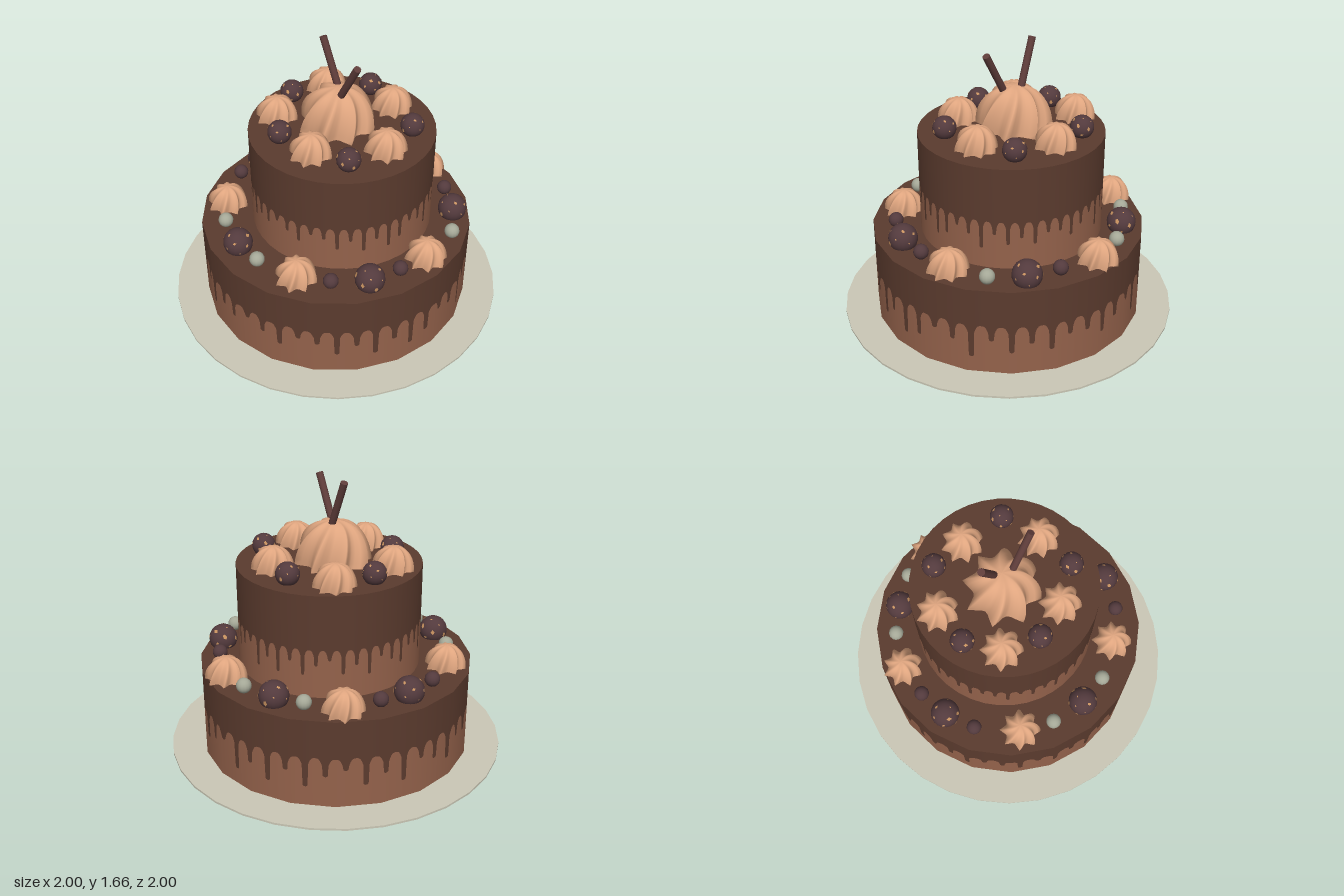
import * as THREE from 'three';
import { mergeGeometries } from 'three/addons/utils/BufferGeometryUtils.js';

const mat = (name, color, side = THREE.FrontSide) => {
  const m = new THREE.MeshStandardMaterial({ color, side });
  m.name = name;
  return m;
};
const DEG = Math.PI / 180;

// Lowest point of each drip, from the front round to the model's left, back and right
const DRIPS = [
  .12, .2, .11, .15, .24, .2, .11, .22, .15, .2, .15, .22, .21, .15, .2,
  .25, .11, .2, .12, .22, .13, .2, .24, .14, .2, .12, .23, .18, .13, .22,
  .2, .12, .24, .16, .21, .13, .2, .19, .25, .21, .16, .24, .22, .14, .21,
];

// Height of the glaze edge at an angle: rounded drips joined by arches
function dripEdge(deg, start, level, scale) {
  const step = 360 / DRIPS.length, half = 1.25;
  const i = Math.round((deg - start) / step);
  const d = Math.abs(deg - start - i * step);
  const tip = level - (0.31 - DRIPS[((i % 45) + 45) % 45]) * scale;
  if (d < half) return tip + 0.02 * (1 - Math.sqrt(1 - (d / half) ** 2));
  const t = (d - half) / (step / 2 - half);
  return level + 0.005 - 0.045 * scale * (1 - t) ** 3;
}

// Wall strip round a many-sided tier between two height functions
function wall(radius, sides, offset, low, high) {
  const cols = 1440, pos = [], nor = [], idx = [];
  const seg = 360 / sides;
  for (let c = 0; c <= cols; c++) {
    const deg = (c * 360) / cols, a = deg * DEG;
    const local = ((deg - offset) % seg + seg) % seg - seg / 2;
    const r = radius * Math.cos(seg / 2 * DEG) / Math.cos(local * DEG);
    for (const y of [low(deg), high(deg)]) {
      pos.push(r * Math.sin(a), y, r * Math.cos(a));
      nor.push(Math.sin(a), 0, Math.cos(a));
    }
    if (c < cols) {
      const k = c * 2;
      idx.push(k, k + 2, k + 3, k, k + 3, k + 1);
    }
  }
  const g = new THREE.BufferGeometry();
  g.setAttribute('position', new THREE.Float32BufferAttribute(pos, 3));
  g.setAttribute('normal', new THREE.Float32BufferAttribute(nor, 3));
  g.setIndex(idx);
  return g;
}

// Piped star: a ridged dome whose eight points twist slightly towards the tip
function dollopGeometry(radius, height) {
  const around = 48, rings = 12, pos = [], idx = [];
  for (let j = 0; j <= rings; j++) {
    const t = j / rings;
    const dome = Math.cos(t * Math.PI / 2) ** 0.85;
    const y = height * Math.sin(t * Math.PI / 2);
    for (let i = 0; i < around; i++) {
      const a = (i / around) * Math.PI * 2;
      const ridge = 1 - 0.3 * Math.abs(Math.sin(4 * a)) * (1 - 0.4 * t);
      const r = j === rings ? 0 : radius * dome * ridge;
      pos.push(r * Math.sin(a + t * 0.5), y, r * Math.cos(a + t * 0.5));
      if (j < rings) {
        const k = j * around + i, n = j * around + (i + 1) % around;
        idx.push(k, n, n + around, k, n + around, k + around);
      }
    }
  }
  const g = new THREE.BufferGeometry();
  g.setAttribute('position', new THREE.Float32BufferAttribute(pos, 3));
  g.setIndex(idx);
  g.computeVertexNormals();
  return g;
}

// Small flakes lying on a sphere
function flakeGeometry(radius) {
  const flakes = [], count = 14;
  for (let i = 0; i < count; i++) {
    const y = 0.95 - 1.3 * (i + 0.5) / count, a = i * 2.4;
    const s = Math.sqrt(1 - y * y);
    const dir = new THREE.Vector3(s * Math.sin(a), y, s * Math.cos(a));
    const f = new THREE.CircleGeometry(radius * (0.08 + 0.06 * (i % 3)), 4 + (i % 2));
    f.scale(1, 0.7, 1);
    f.rotateZ(i);
    f.applyQuaternion(new THREE.Quaternion().setFromUnitVectors(new THREE.Vector3(0, 0, 1), dir));
    f.translate(...dir.multiplyScalar(radius * 1.015).toArray());
    flakes.push(f);
  }
  return mergeGeometries(flakes);
}

export function createModel() {
  const cake = new THREE.Group();
  cake.name = 'cake';
  const glaze = mat('dark glaze', 0x5b3b2e);
  const sponge = mat('milk chocolate', 0x94624b);
  const cream = mat('caramel cream', 0xdfa57f);
  const truffle = mat('truffle', 0x533a3d);
  const flake = mat('golden flake', 0xc8925f, THREE.DoubleSide);
  const pearl = mat('pearl', 0xa5a897);
  const wafer = mat('wafer stick', 0x5f3d3a);
  const board = mat('board', 0xcbc8b6);

  const add = (name, geometry, material, x = 0, y = 0, z = 0, parent = cake) => {
    const m = new THREE.Mesh(geometry, material);
    m.name = name;
    m.position.set(x, y, z);
    parent.add(m);
    return m;
  };

  // Board
  add('cakeBoard', new THREE.CylinderGeometry(1, 1, 0.012, 32), board, 0, 0.006, 0);

  // Tiers: plain lower wall, dripping glaze above it, flat glazed top
  const tier = (name, x, z, radius, sides, offset, y0, y1, start, level, scale) => {
    const g = new THREE.Group();
    g.name = name;
    g.position.set(x, 0, z);
    const edge = (deg) => dripEdge(deg, start, level, scale);
    add('tierWall', wall(radius, sides, offset, () => y0, edge), sponge, 0, 0, 0, g);
    add('drippingGlaze', wall(radius, sides, offset, edge, () => y1), glaze, 0, 0, 0, g);
    const top = new THREE.CircleGeometry(radius, sides, (offset - 90) * DEG);
    top.rotateX(-Math.PI / 2);
    add('glazedTop', top, glaze, 0, y1, 0, g);
    cake.add(g);
  };
  tier('lowerTier', 0, 0, 0.805, 20, -3.5, 0.01, 0.543, 4.5, 0.31, 1);
  tier('upperTier', 0.037, -0.005, 0.535, 40, 0, 0.543, 1.148, 1, 0.825, 0.82);

  // Piped cream
  const small = dollopGeometry(0.122, 0.138);
  const pipe = (y, spots) => spots.forEach(([x, z], i) => {
    add('creamDollop', small, cream, x, y, z).rotation.y = i * 0.35;
  });
  pipe(0.54, [[0, -0.69], [-0.63, -0.19], [0.64, -0.27], [-0.34, 0.54], [0.41, 0.53]]);
  pipe(1.147, [[0.03, -0.41], [-0.31, -0.17], [0.36, -0.13], [-0.19, 0.23], [0.22, 0.28]]);
  add('centreDollop', dollopGeometry(0.225, 0.252), cream, 0.015, 1.147, -0.03).rotation.y = 0.15;

  // Truffles with golden flakes
  const truffles = (y, radius, spots) => {
    const ball = new THREE.SphereGeometry(radius, 20, 14);
    const flakes = flakeGeometry(radius);
    spots.forEach(([x, z], i) => {
      add('truffle', ball, truffle, x, y, z);
      add('truffleFlakes', flakes, flake, x, y, z).rotation.y = i * 1.3;
    });
  };
  truffles(0.587, 0.085, [[-0.37, -0.56], [0.37, -0.565], [-0.62, 0.22], [0.675, 0.175], [0.05, 0.67]]);
  truffles(1.198, 0.068, [[-0.19, -0.35], [0.28, -0.33], [-0.33, 0.05], [0.41, 0.135], [-0.01, 0.38]]);

  // Small chocolate balls and pearls
  const bead = new THREE.SphereGeometry(0.044, 14, 10);
  [[-0.205, -0.645], [-0.515, -0.435], [0.685, -0.02], [0.235, 0.625], [-0.165, 0.645]]
    .forEach(([x, z]) => add('chocolateBall', bead, truffle, x, 0.588, z));
  [[0.21, -0.65], [0.535, -0.445], [-0.665, 0.01], [-0.535, 0.385], [0.61, 0.38]]
    .forEach(([x, z]) => add('sugarPearl', bead, pearl, x, 0.587, z));

  // Wafer sticks leaning out of the centre dollop
  const stick = (from, to) => {
    const a = new THREE.Vector3(...from), b = new THREE.Vector3(...to);
    const dir = b.clone().sub(a);
    const m = add('waferStick', new THREE.CylinderGeometry(0.021, 0.021, dir.length(), 12), wafer);
    m.position.copy(a).add(b).multiplyScalar(0.5);
    m.quaternion.setFromUnitVectors(new THREE.Vector3(0, 1, 0), dir.normalize());
  };
  stick([0.045, 1.3, -0.04], [-0.037, 1.65, -0.163]);
  stick([0.005, 1.32, 0.005], [0.082, 1.617, 0.163]);

  return cake;
}
